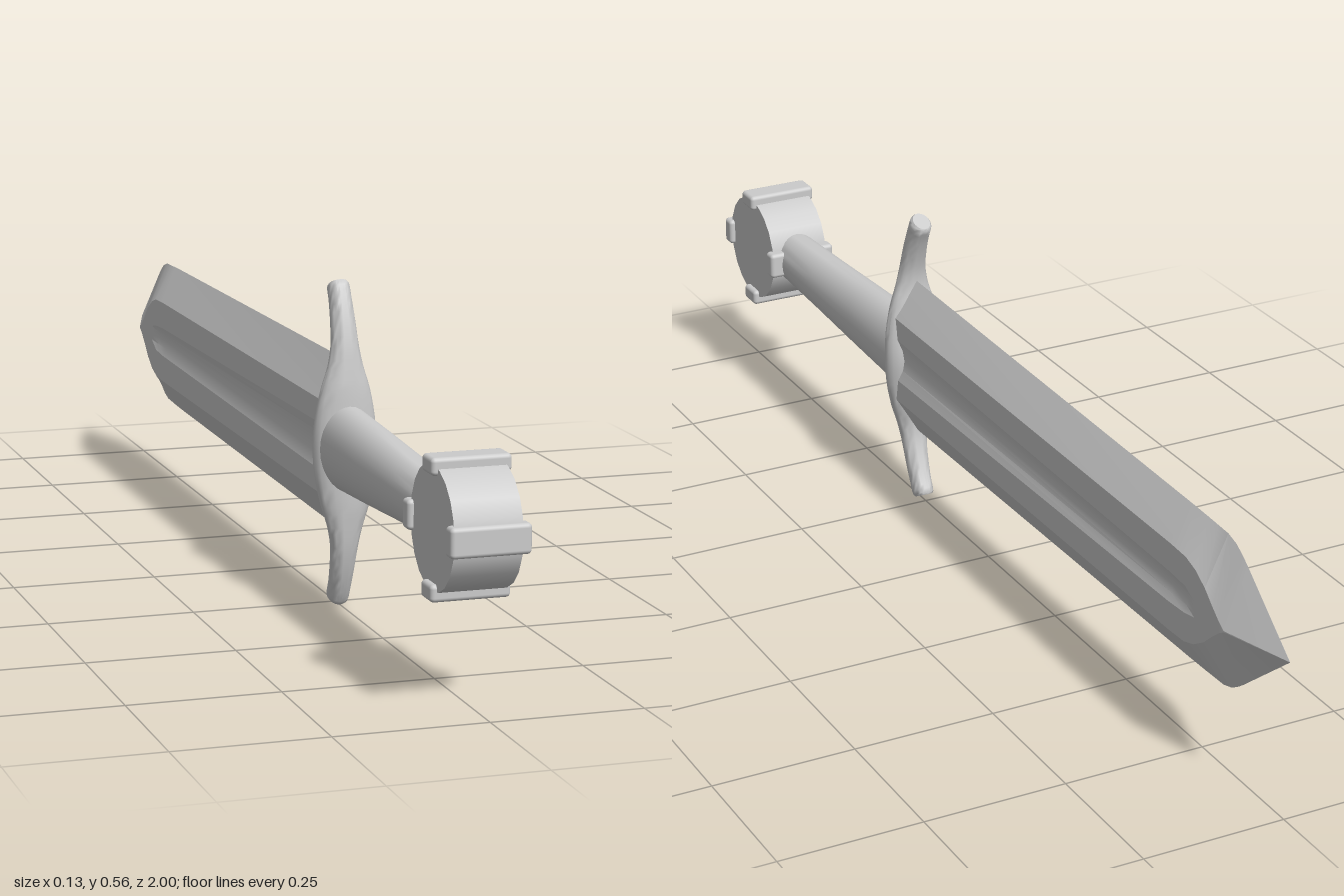
import * as THREE from 'three';
import { toCreasedNormals } from 'three/addons/utils/BufferGeometryUtils.js';
import { RoundedBoxGeometry } from 'three/addons/geometries/RoundedBoxGeometry.js';

const material = new THREE.MeshStandardMaterial({ color: 0xcccccc });
const MID = 0.28; // height of the long axis

// Skin a list of closed rings of [x, y, z] points, with both ends capped
function loft(rings, crease) {
  const n = rings[0].length;
  const position = rings.flat(2);
  const index = [];
  for (let i = 0; i < rings.length - 1; i++) {
    for (let j = 0; j < n; j++) {
      const a = i * n + j, b = i * n + (j + 1) % n;
      index.push(a, b, b + n, a, b + n, a + n);
    }
  }
  const last = (rings.length - 1) * n;
  for (let j = 1; j < n - 1; j++) {
    index.push(0, j + 1, j, last, last + j, last + j + 1);
  }
  const geometry = new THREE.BufferGeometry();
  geometry.setAttribute('position', new THREE.Float32BufferAttribute(position, 3));
  geometry.setIndex(index);
  return toCreasedNormals(geometry, crease);
}

function part(name, geometry) {
  const mesh = new THREE.Mesh(geometry, material);
  mesh.name = name;
  return mesh;
}

// Blade: bevelled edges, flat faces with a shallow tapering fuller
function makeBlade() {
  // z, edge half height, flat half height, half thickness, fuller half height, fuller depth
  const stations = [
    [0.29, 0.148, 0.08, 0.04, 0.04, 0.009],
    [-0.70, 0.137, 0.077, 0.04, 0.027, 0.008],
    [-0.75, 0.136, 0.075, 0.04, 0.024, 0.006],
    [-0.78, 0.135, 0.066, 0.04, 0.018, 0],
    [-0.81, 0.134, 0.048, 0.04, 0.013, 0],
    [-0.835, 0.127, 0.026, 0.04, 0.008, 0],
    [-0.855, 0.115, 0.01, 0.04, 0.003, 0],
    [-0.87, 0.104, 0.001, 0.04, 0.0005, 0],
    [-1, 0.0005, 0.0001, 0.0003, 0.00005, 0],
  ];
  const rings = stations.map(([z, e, f, t, g, d]) => {
    const side = [[t, f], [t, g], [t - d * 0.75, g * 0.5], [t - d, 0],
      [t - d * 0.75, -g * 0.5], [t, -g], [t, -f]];
    return [[0, e], ...side, [0, -e], ...side.map(([x, y]) => [-x, -y])]
      .map(([x, y]) => [x, MID + y, z]);
  });
  return part('blade', loft(rings, 0.3));
}

// Guard: oval section swept up a path whose tips bend towards the blade
function makeGuard() {
  // height from axis, z, half width in x, half depth in z
  const half = [
    [0, 0.296, 0.055, 0.033],
    [0.05, 0.298, 0.052, 0.029],
    [0.10, 0.3, 0.042, 0.025],
    [0.135, 0.3, 0.031, 0.021],
    [0.17, 0.296, 0.024, 0.02],
    [0.21, 0.285, 0.021, 0.021],
    [0.245, 0.271, 0.019, 0.022],
    [0.266, 0.26, 0.018, 0.022],
    [0.27, 0.258, 0.015, 0.019],
  ];
  const all = [...half.slice(1).reverse().map(([y, ...rest]) => [-y, ...rest]), ...half];
  const path = new THREE.CatmullRomCurve3(all.map(([y, z]) => new THREE.Vector3(0, y, z)));
  const size = new THREE.CatmullRomCurve3(all.map(([y, , rx, rz]) => new THREE.Vector3(rx, y, rz)));
  const rings = [];
  const steps = 48, sides = 24;
  for (let i = 0; i <= steps; i++) {
    const p = path.getPoint(i / steps);
    const t = path.getTangent(i / steps);
    const s = size.getPoint(i / steps);
    const ring = [];
    for (let j = 0; j < sides; j++) {
      const a = j / sides * Math.PI * 2;
      const across = Math.cos(a) * s.z;
      ring.push([Math.sin(a) * s.x, MID + p.y - across * t.z, p.z + across * t.y]);
    }
    rings.push(ring);
  }
  return part('guard', loft(rings, 0.7));
}

// Grip: oval handle that grows taller towards the guard
function makeGrip() {
  const stations = [[0.82, 0.042, 0.047], [0.65, 0.044, 0.055], [0.48, 0.046, 0.065], [0.3, 0.048, 0.074]];
  const rings = stations.map(([z, rx, ry]) => Array.from({ length: 28 }, (_, j) => {
    const a = j / 28 * Math.PI * 2;
    return [Math.sin(a) * rx, MID + Math.cos(a) * ry, z];
  }));
  return part('grip', loft(rings, 0.7));
}

// Pommel: disc lying across the grip with four bars around its rim
function makePommel() {
  const pommel = new THREE.Group();
  pommel.name = 'pommel';
  pommel.position.set(0, MID, 0.888);
  const disc = part('pommelDisc', new THREE.CylinderGeometry(0.099, 0.099, 0.11, 20));
  disc.rotation.z = Math.PI / 2;
  pommel.add(disc);
  for (let i = 0; i < 4; i++) {
    const a = i * Math.PI / 2;
    const bar = part('pommelBar', new RoundedBoxGeometry(0.13, 0.028, 0.048, 3, 0.007));
    bar.position.set(0, Math.cos(a) * 0.098, Math.sin(a) * 0.098);
    bar.rotation.x = a;
    pommel.add(bar);
  }
  return pommel;
}

export function createModel() {
  const group = new THREE.Group();
  group.name = 'dagger';
  group.add(makeBlade(), makeGuard(), makeGrip(), makePommel());
  return group;
}
